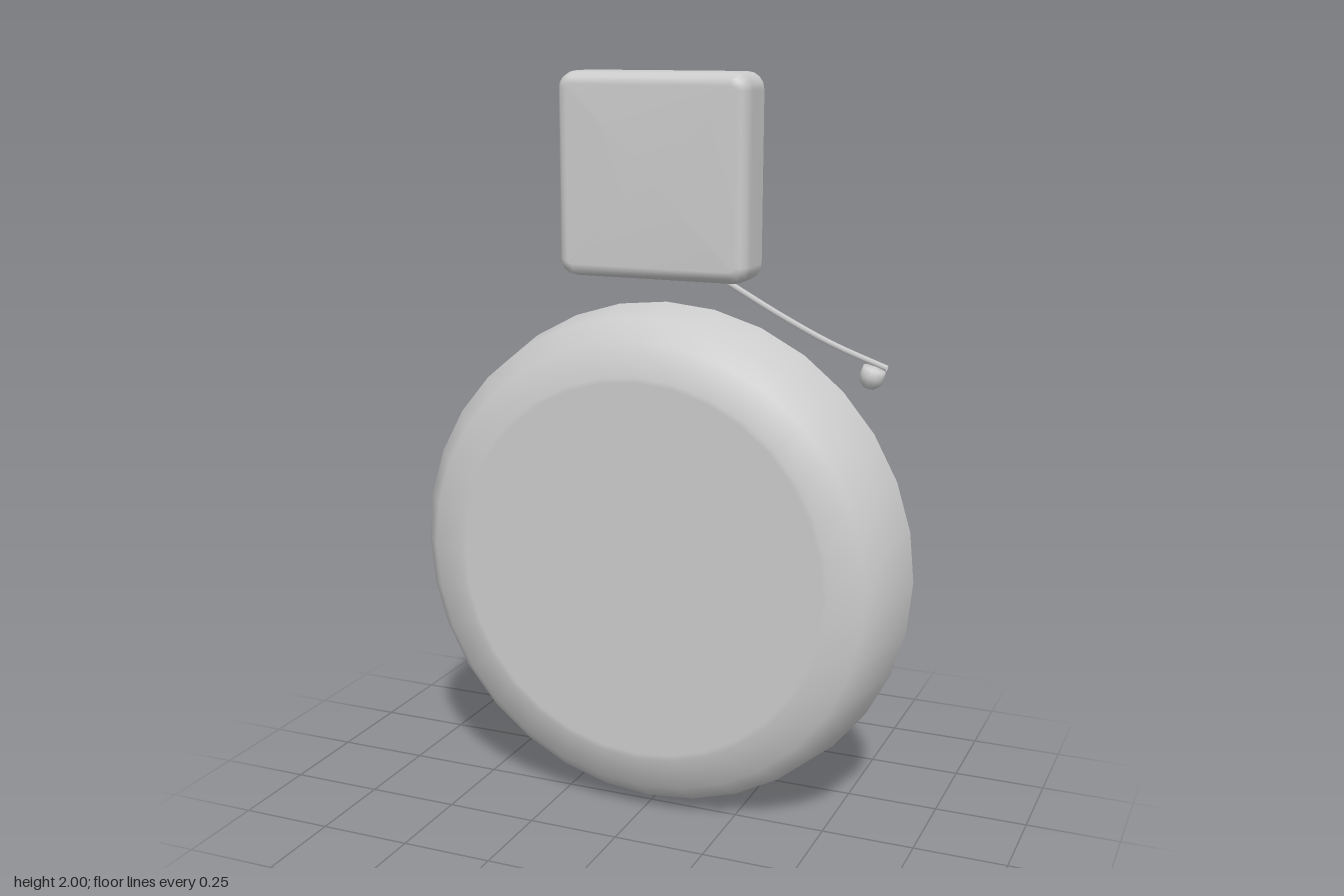
import * as THREE from 'three';

const material = new THREE.MeshStandardMaterial({ color: 0xcccccc, side: THREE.DoubleSide });
const BACK = -0.105;

function addMesh(parent, name, geometry, x = 0, y = 0, z = 0) {
  const mesh = new THREE.Mesh(geometry, material);
  mesh.name = name;
  mesh.position.set(x, y, z);
  parent.add(mesh);
  return mesh;
}

// Square shell with rounded corners, softened front edge and open back
function shellGeometry(half, radius, rings) {
  const positions = [], index = [], steps = 4, n = 4 * (steps + 1);
  for (const [z, inset] of rings) {
    for (let corner = 0; corner < 4; corner++) {
      const mid = (corner + 0.5) * Math.PI / 2;
      const cx = Math.sign(Math.cos(mid)) * (half - radius);
      const cy = Math.sign(Math.sin(mid)) * (half - radius);
      for (let s = 0; s <= steps; s++) {
        const a = (corner + s / steps) * Math.PI / 2;
        const r = radius - inset;
        positions.push(cx + r * Math.cos(a), cy + r * Math.sin(a), z);
      }
    }
  }
  for (let r = 0; r < rings.length - 1; r++) {
    for (let i = 0; i < n; i++) {
      const a = r * n + i, b = r * n + (i + 1) % n;
      index.push(a, b, b + n, a, b + n, a + n);
    }
  }
  // Front panel
  const last = (rings.length - 1) * n, centre = rings.length * n;
  positions.push(0, 0, rings[rings.length - 1][0]);
  for (let i = 0; i < n; i++) index.push(last + i, last + (i + 1) % n, centre);
  const geometry = new THREE.BufferGeometry();
  geometry.setAttribute('position', new THREE.Float32BufferAttribute(positions, 3));
  geometry.setIndex(index);
  geometry.computeVertexNormals();
  return geometry;
}

export function createModel() {
  const model = new THREE.Group();
  model.name = 'wallBell';

  // Gong: shallow dish, open at the back
  const gongProfile = [[0.697, BACK], [0.675, 0.02], [0.62, 0.082], [0.53, 0.105], [0.515, 0.105], [0, 0.105]]
    .map(([r, h]) => new THREE.Vector2(r, h));
  const gong = addMesh(model, 'gong', new THREE.LatheGeometry(gongProfile, 32), 0, 0.702, 0);
  gong.rotation.x = Math.PI / 2;

  // Housing above the gong
  addMesh(model, 'housing', shellGeometry(0.265, 0.045, [
    [BACK, 0], [-0.02, 0], [0.001, 0.005], [0.015, 0.016], [0.021, 0.034],
  ]), 0, 1.735, 0);

  // Striker: pivot block inside the housing, curved arm and hammer
  const striker = new THREE.Group();
  striker.name = 'striker';
  model.add(striker);
  addMesh(striker, 'pivotBlock', new THREE.BoxGeometry(0.145, 0.06, 0.1), 0.11, 1.51, -0.052);

  const armPath = new THREE.CatmullRomCurve3([
    [0.1, 1.51], [0.17, 1.472], [0.33, 1.387], [0.47, 1.322], [0.615, 1.27],
  ].map(([x, y]) => new THREE.Vector3(x, y, -0.077)));
  addMesh(striker, 'arm', new THREE.TubeGeometry(armPath, 14, 0.008, 6));

  // Hammer: short stub with a rounded lower end
  const hammerProfile = [[0, -0.033], [0.016, -0.03], [0.029, -0.016], [0.032, 0], [0.03, 0.022], [0, 0.026]]
    .map(([r, h]) => new THREE.Vector2(r, h));
  const hammer = addMesh(striker, 'hammer', new THREE.LatheGeometry(hammerProfile, 12), 0.58, 1.25, -0.062);
  hammer.rotation.z = -0.3;

  return model;
}
